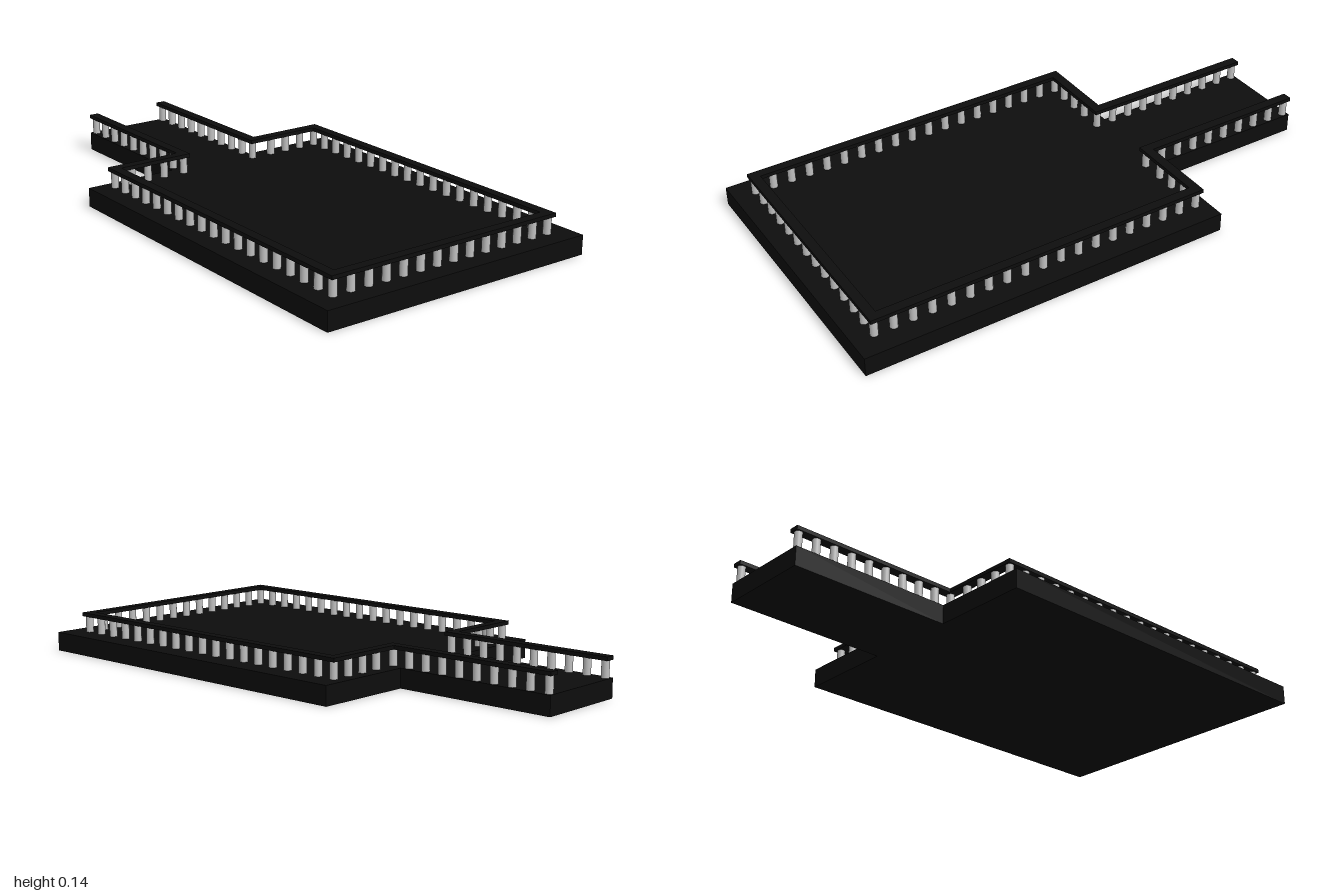
import * as THREE from 'three';

const BASE_TOP = 0.07, RAIL_Y = 0.13, RAIL_TOP = 0.144, RAIL_W = 0.036, POST_R = 0.014;

// Extrudes a plan outline of [x, z] points upward between two heights
function slab(points, y0, y1, material, name) {
  const shape = new THREE.Shape(points.map(([x, z]) => new THREE.Vector2(x, -z)));
  const geo = new THREE.ExtrudeGeometry(shape, { depth: y1 - y0, bevelEnabled: false });
  geo.rotateX(-Math.PI / 2);
  geo.translate(0, y0, 0);
  const mesh = new THREE.Mesh(geo, material);
  mesh.name = name;
  return mesh;
}

export function createModel() {
  const group = new THREE.Group();
  const black = new THREE.MeshStandardMaterial({ color: 0x0d0d0d });
  black.name = 'black stone';
  const grey = new THREE.MeshStandardMaterial({ color: 0xc0c0c0 });
  grey.name = 'light grey';

  // T-shaped platform: wide terrace with a narrow walkway at the back
  const plan = (l, r, sl, sr, front, shoulder) => [
    [sl, -1], [sl, shoulder], [l, shoulder], [l, front],
    [r, front], [r, shoulder], [sr, shoulder], [sr, -1],
  ];
  group.add(slab(plan(-0.537, 0.537, -0.179, 0.172, 1, -0.39), 0, BASE_TOP, black, 'platform'));

  // Handrail: a band following the platform, open at the walkway end
  const w = RAIL_W;
  const outer = plan(-0.473, 0.468, -0.179, 0.172, 0.938, -0.36);
  const inner = plan(-0.473 + w, 0.468 - w, -0.179 + w, 0.172 - w, 0.938 - w, -0.36 + w);
  group.add(slab([...outer, ...inner.reverse()], RAIL_Y, RAIL_TOP, black, 'handrail'));

  // Posts along the centre line of the handrail
  const posts = new THREE.Group();
  posts.name = 'posts';
  const postGeo = new THREE.CylinderGeometry(POST_R, POST_R, RAIL_Y - BASE_TOP, 16);
  const addPost = (x, z) => {
    const post = new THREE.Mesh(postGeo, grey);
    post.name = 'post';
    post.position.set(x, (BASE_TOP + RAIL_Y) / 2, z);
    posts.add(post);
  };
  const left = 0.449, right = -0.455, front = 0.92, shoulder = -0.342, back = -0.982;
  const step = (left - right) / 13;

  // Front row
  for (let i = 0; i < 14; i++) addPost(right + i * step, front);
  // Terrace sides, down to the shoulder corners
  for (let i = 1; i <= 18; i++) {
    const z = front + (shoulder - front) * i / 18;
    addPost(left, z);
    addPost(right, z);
  }
  // Shoulders
  for (let i = 1; i <= 3; i++) {
    addPost(left - i * step, shoulder);
    addPost(right + i * step, shoulder);
  }
  // Walkway sides
  for (let i = 0; i <= 9; i++) {
    const z = shoulder + (back - shoulder) * i / 9;
    addPost(0.154, z);
    addPost(-0.161, z);
  }
  group.add(posts);
  return group;
}
